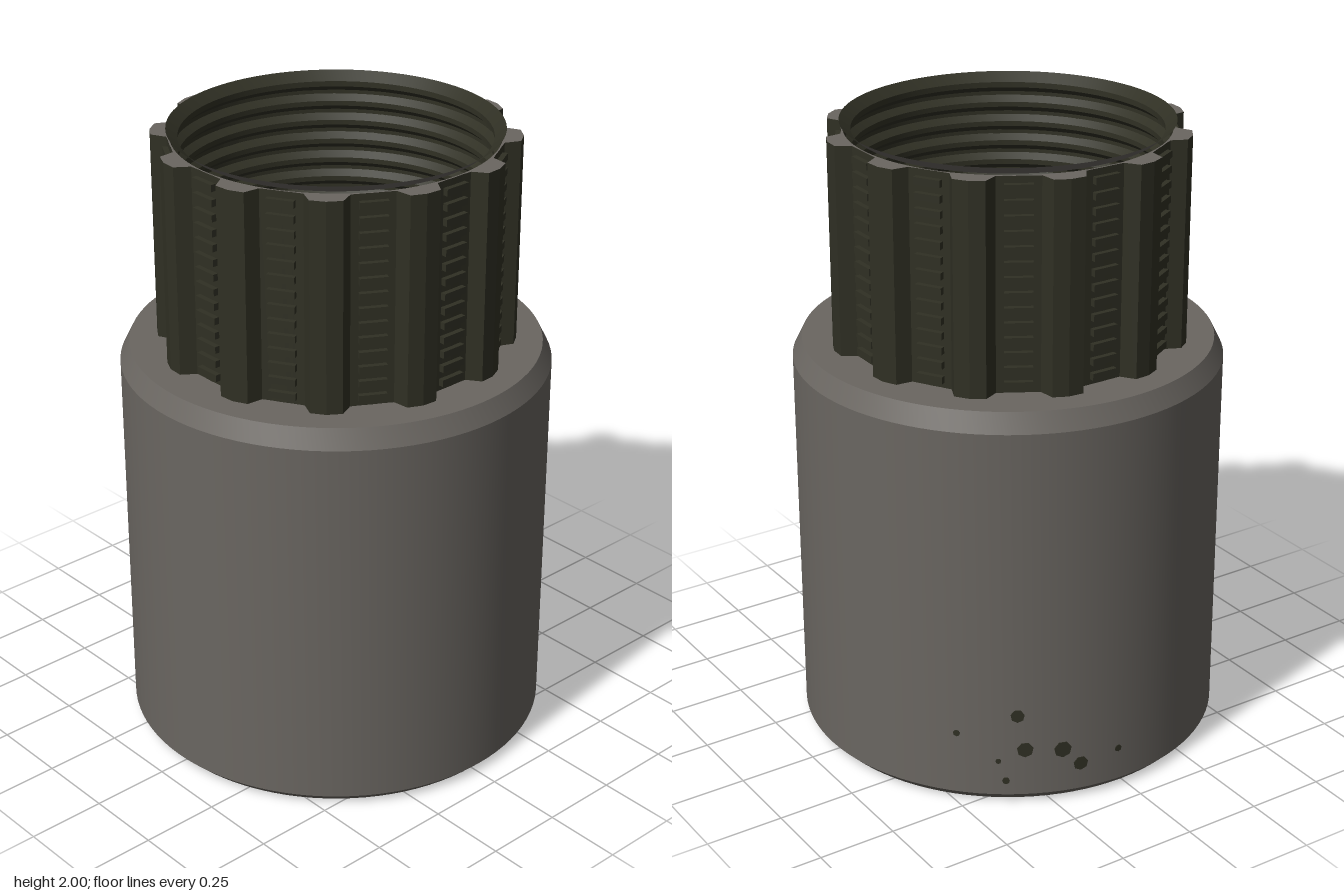
import * as THREE from 'three';
import { mergeGeometries, toCreasedNormals } from 'three/addons/utils/BufferGeometryUtils.js';

const DEG = Math.PI / 180;
const material = (name, color) => {
  const m = new THREE.MeshStandardMaterial({ color });
  m.name = name;
  return m;
};

export function createModel() {
  const group = new THREE.Group();
  const grey = material('warm grey', 0x6a6661);
  const dark = material('dark olive', 0x303024);

  const add = (name, geometry, mat) => {
    const mesh = new THREE.Mesh(geometry, mat);
    mesh.name = name;
    group.add(mesh);
    return mesh;
  };
  const lathe = (points, segments = 96) => toCreasedNormals(
    new THREE.LatheGeometry(points.map(([r, y]) => new THREE.Vector2(r, y)), segments), 0.3);
  // Closed ring of points: a [degrees, radius] pattern repeated twelve times
  const ringPoints = (pattern) => {
    const pts = [];
    for (let i = 0; i < 12; i++) {
      for (const [a, r] of pattern) {
        const t = (a + i * 30) * DEG;
        pts.push(new THREE.Vector2(r * Math.cos(t), r * Math.sin(t)));
      }
    }
    return pts;
  };
  const extrudeUp = (shape, y0, y1) => {
    const g = new THREE.ExtrudeGeometry(shape, { depth: y1 - y0, bevelEnabled: false, curveSegments: 72 });
    g.rotateX(-Math.PI / 2).translate(0, y0, 0);
    return toCreasedNormals(g, 0.3);
  };
  const circle = (r) => new THREE.Path().absarc(0, 0, r, 0, Math.PI * 2, true);

  // Outer sleeve with chamfered edges
  add('sleeve', lathe([[0.51, 0], [0.645, 0], [0.675, 0.03], [0.675, 1.25], [0.645, 1.31], [0.49, 1.31]]), grey);

  // Chamfer leading into the lower opening
  add('lowerChamfer', lathe([[0.485, 0.045], [0.51, 0]]), dark);

  // Splined socket wall in the lower half
  const socket = new THREE.Shape().absarc(0, 0, 0.6, 0, Math.PI * 2, false);
  socket.holes.push(new THREE.Path(ringPoints(
    [[-6, 0.506], [0, 0.508], [6, 0.506], [9, 0.487], [15, 0.487], [21, 0.487]]).reverse()));
  add('socketWall', extrudeUp(socket, 0.045, 1.02), dark);

  // Ribbed neck, with grey rib ends
  const neck = new THREE.Shape(ringPoints(
    [[-7.5, 0.508], [-3.5, 0.504], [0, 0.504], [3.5, 0.504], [7.5, 0.508], [10, 0.555], [15, 0.562], [20, 0.555]]));
  neck.holes.push(circle(0.499));
  add('neckRibs', extrudeUp(neck, 1.2, 1.975), [grey, dark]);

  // Small rungs stacked in each groove of the neck
  const rungs = [];
  for (let i = 0; i < 12; i++) {
    for (let j = 0; j < 14; j++) {
      const g = new THREE.BoxGeometry(0.085, 0.022, 0.024);
      g.translate(0, 1.338 + j * 0.0465, 0.508).rotateY(i * 30 * DEG);
      rungs.push(g);
    }
  }
  add('grooveRungs', mergeGeometries(rungs), dark);

  // Thread rings inside the neck
  const thread = [[0.476, 1.973]];
  for (let y = 1.955; y > 1.03; y -= 0.064) {
    thread.push([0.476, y], [0.497, y - 0.018], [0.497, y - 0.03], [0.476, y - 0.048]);
  }
  thread.push([0.476, 1.0], [0.52, 1.0]);
  add('innerThread', lathe(thread), dark);

  // Flared lip at the top
  add('lipInside', lathe([[0.51, 2], [0.475, 1.973]]), dark);
  add('lipOutside', lathe([[0.475, 1.972], [0.51, 2]]), grey);

  // Worn chips low on the back: [degrees from back toward +x, height, radius]
  const chips = [[3, 0.14, 0.012], [14, 0.12, 0.024], [19, 0.18, 0.028], [29, 0.19, 0.026],
    [31, 0.31, 0.022], [34, 0.08, 0.012], [36, 0.15, 0.009], [47, 0.24, 0.011]];
  for (const [a, y, r] of chips) {
    const g = new THREE.CylinderGeometry(r, r, 0.006, 7);
    g.rotateX(Math.PI / 2).translate(0, y, 0.674).rotateY((180 - a) * DEG);
    add('chip', g, dark);
  }
  return group;
}
